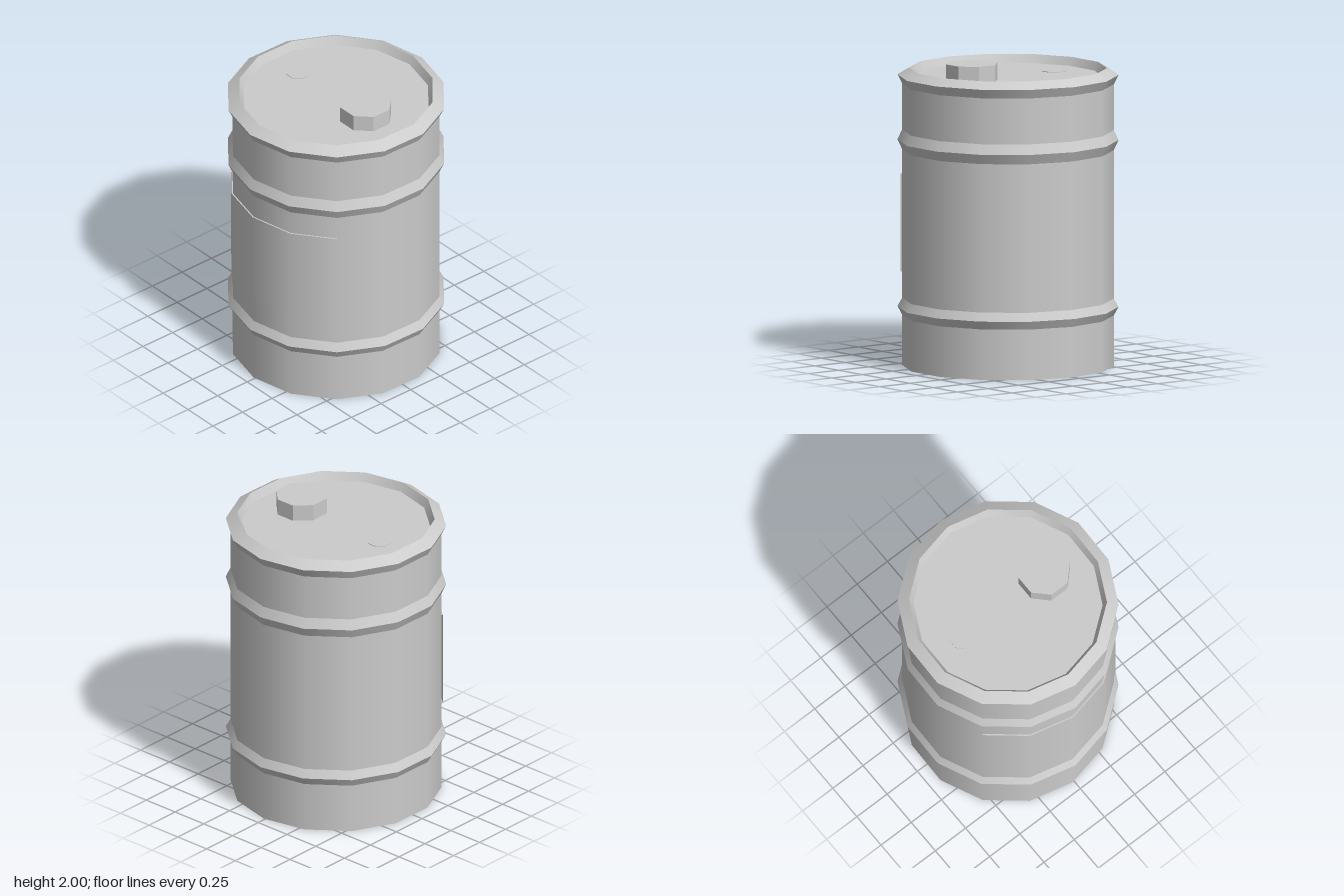
import * as THREE from 'three';
import { mergeGeometries } from 'three/addons/utils/BufferGeometryUtils.js';

const SIDES = 14;
const STEP = (Math.PI * 2) / SIDES;
const TURN = -0.0175; // slight twist of the whole drum
const R = 0.685; // wall radius
const R_HOOP = 0.715; // radius at the hoop ridges

// Revolve each profile section separately: smooth around, sharp between sections
function revolve(profile, first = 0, count = SIDES) {
  const bands = [];
  for (let i = 0; i < profile.length - 1; i++) {
    const pts = [profile[i], profile[i + 1]].map(([r, y]) => new THREE.Vector2(r, y));
    bands.push(new THREE.LatheGeometry(pts, count, TURN + first * STEP, count * STEP));
  }
  return mergeGeometries(bands);
}

export function createModel() {
  const group = new THREE.Group();
  const smooth = new THREE.MeshStandardMaterial({ color: 0xcccccc });
  const faceted = new THREE.MeshStandardMaterial({ color: 0xcccccc, flatShading: true });

  const add = (name, geometry, material = smooth) => {
    const mesh = new THREE.Mesh(geometry, material);
    mesh.name = name;
    group.add(mesh);
    return mesh;
  };

  // Base and the three straight wall sections between the hoops
  add('base', revolve([[0, 0], [R, 0]]));
  add('lowerWall', revolve([[R, 0], [R, 0.33]]));
  add('middleWall', revolve([[R, 0.44], [R, 1.41]]));
  add('upperWall', revolve([[R, 1.54], [R, 1.84]]));

  // Rolling hoops with a sharp ridge
  add('lowerHoop', revolve([[R, 0.33], [R_HOOP, 0.385], [R, 0.44]]));
  add('upperHoop', revolve([[R, 1.41], [R_HOOP, 1.475], [R, 1.54]]));

  // Top rim: flares out, bevels in, then drops to the sunken lid
  add('rim', revolve([[R, 1.84], [R_HOOP, 1.9], [0.64, 1.945], [0.612, 1.89]]));
  add('lid', revolve([[0.612, 1.89], [0, 1.89]]));

  // Octagonal caps on the lid
  const addCap = (name, x, halfWidth, top) => {
    const r = halfWidth / Math.cos(Math.PI / 8);
    const height = top - 1.885;
    const cap = add(name, new THREE.CylinderGeometry(r, r, height, 8).rotateY(Math.PI / 8), faceted);
    cap.position.set(x, top - height / 2, 0);
  };
  addCap('largeCap', 0.298, 0.16, 2);
  addCap('smallCap', -0.38, 0.075, 1.894);

  // Raised blank panel wrapped over the four front sides
  const panel = revolve([[R, 0.61], [0.694, 0.61], [0.694, 1.25], [R, 1.25]], -2, 4);
  add('frontPanel', panel, new THREE.MeshStandardMaterial({ color: 0xcccccc, side: THREE.DoubleSide }));

  return group;
}
